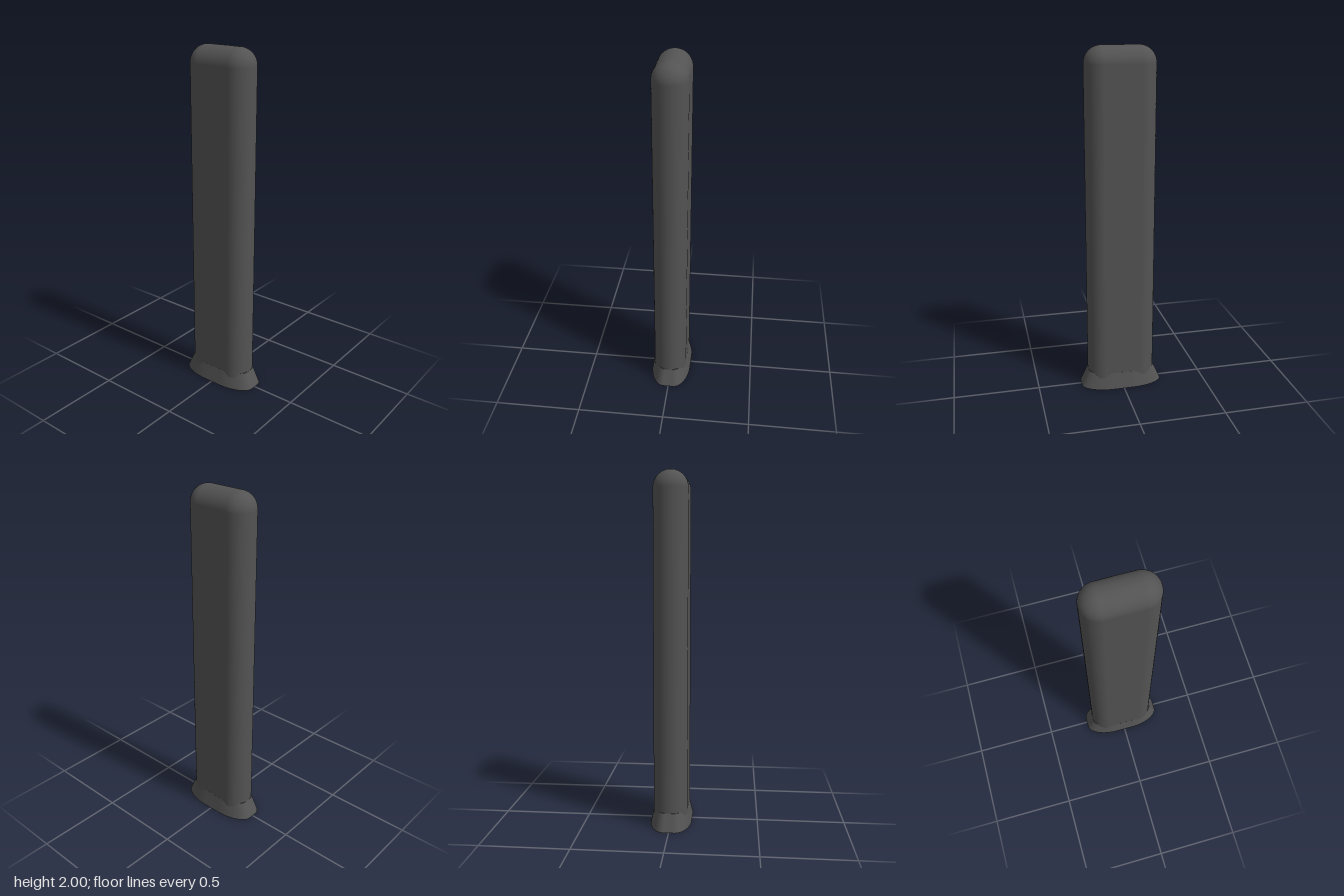
import * as THREE from 'three';

// Smooth skin through closed rings of equal length, listed bottom to top
function loft(rings) {
  const n = rings[0].length;
  const index = [];
  for (let r = 0; r < rings.length - 1; r++) {
    for (let i = 0; i < n; i++) {
      const a = r * n + i, b = r * n + (i + 1) % n;
      index.push(a, a + n, b, b, a + n, b + n);
    }
  }
  const geometry = new THREE.BufferGeometry();
  geometry.setAttribute('position', new THREE.Float32BufferAttribute(rings.flat(2), 3));
  geometry.setIndex(index);
  geometry.computeVertexNormals();
  return geometry;
}

// Rounded slot outline: two half circles joined by straight sides
function slotRing(halfStraight, radius, y, steps = 24) {
  const ring = [];
  for (const side of [1, -1]) {
    for (let i = 0; i <= steps; i++) {
      const a = Math.PI * (i / steps - 0.5);
      ring.push([side * (halfStraight + radius * Math.cos(a)), y, side * radius * Math.sin(a)]);
    }
  }
  return ring;
}

// Soft oblong outline of the foot
function footShape() {
  const x = 0.242, z = 0.118, fx = 0.06, fz = 0.03;
  const s = new THREE.Shape();
  s.moveTo(x, -fz);
  s.lineTo(x, fz);
  s.bezierCurveTo(x, 0.08, 0.15, z, fx, z);
  s.lineTo(-fx, z);
  s.bezierCurveTo(-0.15, z, -x, 0.08, -x, fz);
  s.lineTo(-x, -fz);
  s.bezierCurveTo(-x, -0.08, -0.15, -z, -fx, -z);
  s.lineTo(fx, -z);
  s.bezierCurveTo(0.15, -z, x, -0.08, x, -fz);
  return s;
}

export function createModel() {
  const group = new THREE.Group();
  const charcoal = new THREE.MeshStandardMaterial({ color: 0x535353 });
  charcoal.name = 'charcoal';
  const add = (name, geometry, parent) => {
    const mesh = new THREE.Mesh(geometry, charcoal);
    mesh.name = name;
    parent.add(mesh);
    return mesh;
  };

  // Upright body with a fully rounded top
  const radius = 0.097, halfStraight = 0.103, height = 2;
  const rings = [slotRing(halfStraight, radius, 0.02)];
  for (let i = 0; i <= 16; i++) {
    const a = (i / 16) * Math.PI / 2;
    rings.push(slotRing(halfStraight, radius * Math.cos(a), height - radius + radius * Math.sin(a)));
  }
  add('body', loft(rings), group);

  // Flared foot: sloping skirt, closed above and below
  const foot = new THREE.Group();
  foot.name = 'foot';
  group.add(foot);
  const shape = footShape();
  const outline = shape.getPoints(16).slice(0, -1);
  const topY = 0.097, topScale = 0.825;
  const ringAt = (scale, y) => outline.map((p) => [p.x * scale, y, p.y * scale]);
  add('footSkirt', loft([ringAt(1, 0), ringAt(topScale, topY)]), foot);
  const cap = new THREE.ShapeGeometry(shape, 16);
  add('footUnderside', cap.clone().rotateX(Math.PI / 2), foot);
  add('footTop', cap.clone().rotateX(-Math.PI / 2).scale(topScale, 1, topScale).translate(0, topY, 0), foot);

  return group;
}
